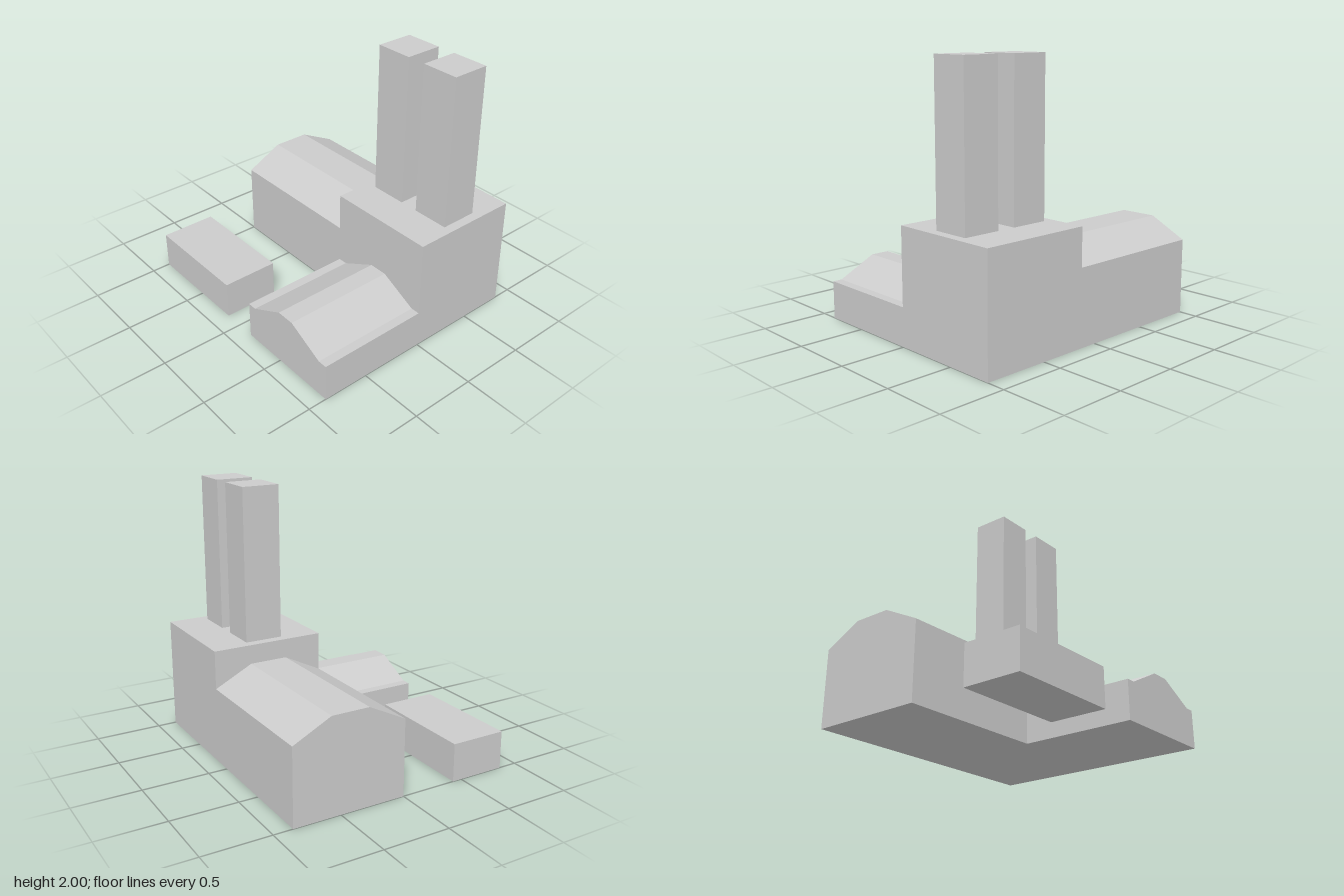
import * as THREE from 'three';

const U = 1 / 7; // modelling unit
const material = new THREE.MeshStandardMaterial({ color: 0xcccccc, flatShading: true });

// Block given by its minimum and maximum corners, in units
function block(name, [x0, y0, z0], [x1, y1, z1]) {
  const geometry = new THREE.BoxGeometry((x1 - x0) * U, (y1 - y0) * U, (z1 - z0) * U);
  const mesh = new THREE.Mesh(geometry, material);
  mesh.position.set((x0 + x1) / 2 * U, (y0 + y1) / 2 * U, (z0 + z1) / 2 * U);
  mesh.name = name;
  return mesh;
}

// Gable profile extruded along z, in units
function prism(name, profile, depth) {
  const shape = new THREE.Shape(profile.map(([x, y]) => new THREE.Vector2(x * U, y * U)));
  const geometry = new THREE.ExtrudeGeometry(shape, { depth: depth * U, bevelEnabled: false });
  const mesh = new THREE.Mesh(geometry, material);
  mesh.name = name;
  return mesh;
}

export function createModel() {
  const model = new THREE.Group();
  model.name = 'factory';

  // Main block with two chimneys on its roof
  model.add(block('mainBlock', [1, 0, -6], [7, 6, 0]));
  [1.5, 4.5].forEach((x, i) => {
    model.add(block(i ? 'leftChimney' : 'rightChimney', [x, 6, -4], [x + 2, 14, -2]));
  });

  // Long hall with a flat-topped roof, running along x
  const hall = prism('longHall', [[0, 0], [6, 0], [6, 4], [4, 5], [2, 5], [0, 4]], 8);
  hall.rotation.y = Math.PI / 2;
  hall.position.x = -7 * U;
  model.add(hall);

  // Front wing with narrow eaves beside its raised roof
  model.add(prism('frontWing',
    [[1, 0], [7, 0], [7, 2], [6.5, 2], [4.5, 3], [3.5, 3], [1.5, 2], [1, 2]], 6));

  // Detached shed
  model.add(block('shed', [-7, 0, 3], [-1, 2, 6]));

  return model;
}
